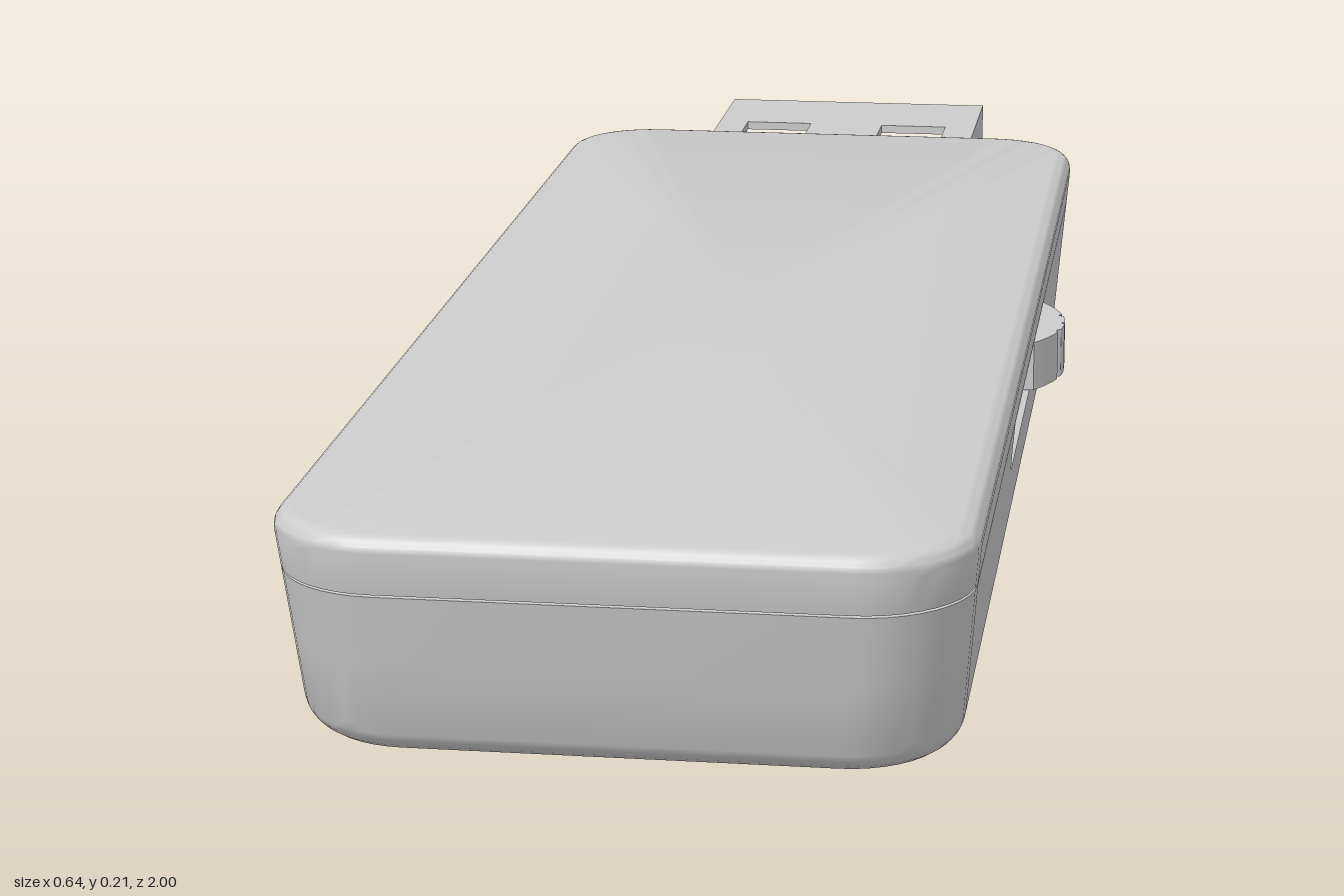
import * as THREE from 'three';
import { mergeGeometries, toCreasedNormals } from 'three/addons/utils/BufferGeometryUtils.js';

const CX = -0.012, CZ = 0.185, HEIGHT = 0.213, SEAM = 0.158, RADIUS = 0.1;
const PANEL_LOW = 0.09, PANEL_TOP = SEAM - 0.001;
const grey = new THREE.MeshStandardMaterial({ color: 0xcccccc });
const greyBoth = new THREE.MeshStandardMaterial({ color: 0xcccccc, side: THREE.DoubleSide });

// Tapered casing: half width and half length at a height
const halfW = (y) => 0.291 + 0.085 * y;
const halfD = (y) => 0.777 + 0.19 * y;
const wallX = (y) => CX + halfW(y);

function add(parent, name, geometry, material = grey) {
  const mesh = new THREE.Mesh(geometry, material);
  mesh.name = name;
  parent.add(mesh);
  return mesh;
}

function box(parent, name, x0, x1, y0, y1, z0, z1) {
  const mesh = add(parent, name, new THREE.BoxGeometry(x1 - x0, y1 - y0, z1 - z0));
  mesh.position.set((x0 + x1) / 2, (y0 + y1) / 2, (z0 + z1) / 2);
}

// Rounded rectangle at height y; the last-to-first edge is the straight +x side
function ring([y, inset]) {
  const pts = [], steps = 10;
  const w = halfW(y) - RADIUS, d = halfD(y) - RADIUS, r = RADIUS - inset;
  [[1, 1], [-1, 1], [-1, -1], [1, -1]].forEach(([sx, sz], k) => {
    for (let i = 0; i <= steps; i++) {
      const a = (k + i / steps) * Math.PI / 2;
      pts.push([CX + sx * w + r * Math.cos(a), y, CZ + sz * d + r * Math.sin(a)]);
    }
  });
  return pts;
}

// Skin over stacked rings, with optional end caps and an open +x panel in one row
function skin(levels, { bottom, top, openRow = -1 }) {
  const rings = levels.map(ring), n = rings[0].length, pos = [];
  const tri = (...p) => p.forEach((v) => pos.push(...v));
  for (let i = 0; i < rings.length - 1; i++) {
    for (let j = 0; j < n; j++) {
      if (i === openRow && j === n - 1) continue;
      const k = (j + 1) % n;
      const a = rings[i][j], b = rings[i][k], c = rings[i + 1][j], d = rings[i + 1][k];
      tri(a, c, b);
      tri(b, c, d);
    }
  }
  const last = rings[rings.length - 1];
  for (let j = 0; j < n; j++) {
    const k = (j + 1) % n;
    if (bottom) tri([CX, levels[0][0], CZ], rings[0][j], rings[0][k]);
    if (top) tri([CX, HEIGHT, CZ], last[k], last[j]);
  }
  const g = new THREE.BufferGeometry();
  g.setAttribute('position', new THREE.Float32BufferAttribute(pos, 3));
  return g;
}

// Slot outline, drawn with its x axis along -z
function slotOutline(ShapeClass) {
  const a = -0.41, b = 0.06, lo = 0.101, hi = 0.156, r = 0.034;
  const s = new ShapeClass();
  s.moveTo(a, hi);
  s.lineTo(a, lo + r);
  s.quadraticCurveTo(a, lo, a + r, lo);
  s.lineTo(b - r, lo);
  s.quadraticCurveTo(b, lo, b, lo + r);
  s.lineTo(b, hi);
  s.closePath();
  return s;
}

// Flat shape turned to face +x
function sideFace(shape, xAt) {
  const g = new THREE.ShapeGeometry(shape, 8).toNonIndexed();
  g.rotateY(Math.PI / 2);
  const p = g.attributes.position;
  for (let i = 0; i < p.count; i++) p.setX(i, xAt(p.getY(i)));
  g.deleteAttribute('uv');
  g.deleteAttribute('normal');
  return g;
}

function lowerShell() {
  const levels = [], r = 0.03;
  for (let i = 0; i <= 6; i++) {
    const a = i / 6 * Math.PI / 2;
    levels.push([r * (1 - Math.cos(a)), r * (1 - Math.sin(a))]);
  }
  levels.push([PANEL_LOW, 0], [PANEL_TOP, 0], [PANEL_TOP, 0.006]);
  // Side panel with the slot cut through it
  const e0 = halfD(PANEL_LOW) - RADIUS, e1 = halfD(PANEL_TOP) - RADIUS;
  const panel = new THREE.Shape([
    [-CZ - e0, PANEL_LOW], [-CZ + e0, PANEL_LOW], [-CZ + e1, PANEL_TOP], [-CZ - e1, PANEL_TOP],
  ].map(([x, y]) => new THREE.Vector2(x, y)));
  panel.holes.push(slotOutline(THREE.Path));
  const body = skin(levels, { bottom: true, openRow: 7 });
  return toCreasedNormals(mergeGeometries([body, sideFace(panel, wallX)]), 0.6);
}

function lid() {
  const levels = [[SEAM + 0.001, 0.006], [SEAM + 0.001, 0]], r = 0.02;
  for (let i = 0; i <= 6; i++) {
    const a = i / 6 * Math.PI / 2;
    levels.push([HEIGHT - r + r * Math.sin(a), r * (1 - Math.cos(a))]);
  }
  return toCreasedNormals(skin(levels, { top: true }), 0.6);
}

// Walls and floor of the slot
function slotPocket() {
  const floorX = 0.24, pts = slotOutline(THREE.Shape).getPoints(8), pos = [];
  pts.forEach((p, i) => {
    const q = pts[(i + 1) % pts.length];
    const a = [wallX(p.y), p.y, -p.x], b = [wallX(q.y), q.y, -q.x];
    const c = [floorX, p.y, -p.x], d = [floorX, q.y, -q.x];
    pos.push(...a, ...b, ...c, ...b, ...d, ...c);
  });
  const walls = new THREE.BufferGeometry();
  walls.setAttribute('position', new THREE.Float32BufferAttribute(pos, 3));
  const floor = sideFace(slotOutline(THREE.Shape), () => floorX);
  return toCreasedNormals(mergeGeometries([walls, floor]), 0.5);
}

// Curved thumb slider with shallow grip grooves
function slider() {
  const s = new THREE.Shape(), zc = 0.025, half = 0.083, n = 32;
  s.moveTo(0.241, -zc - half);
  for (let i = 0; i <= n; i++) {
    const u = -1 + 2 * i / n;
    const groove = Math.abs(u) < 0.6 && i % 6 === 4 ? 0.004 : 0;
    s.lineTo(0.292 + 0.028 * (1 - u * u) - groove, -zc + half * u);
  }
  s.lineTo(0.241, -zc + half);
  s.closePath();
  const g = new THREE.ExtrudeGeometry(s, { depth: 0.052, bevelEnabled: false });
  g.rotateX(-Math.PI / 2);
  g.translate(0, 0.1025, 0);
  return toCreasedNormals(g, 0.3);
}

// Hollow metal plug with windows in the top and bottom plates
function connector() {
  const g = new THREE.Group();
  g.name = 'connector';
  const x0 = -0.18, x1 = 0.155, y0 = 0.053, y1 = 0.172, t = 0.01, zIn = -0.58;
  const rect = (C, a, b, c, d) => new C([[a, c], [b, c], [b, d], [a, d]].map(([x, y]) => new THREE.Vector2(x, y)));
  const windows = [[-0.143, -0.06], [0.033, 0.116]];
  const dimples = [[-0.1, -0.065], [0.04, 0.075]];
  const plate = (name, y, dimpled) => {
    const s = rect(THREE.Shape, x0, x1, -zIn, 1);
    windows.forEach(([a, b]) => s.holes.push(rect(THREE.Path, a, b, 0.797, 0.86)));
    if (dimpled) dimples.forEach(([a, b]) => s.holes.push(rect(THREE.Path, a, b, 0.682, 0.708)));
    const geo = new THREE.ExtrudeGeometry(s, { depth: t, bevelEnabled: false });
    geo.rotateX(-Math.PI / 2);
    add(g, name, geo).position.y = y;
  };
  plate('connectorTop', y1 - t, true);
  plate('connectorBottom', y0, false);
  dimples.forEach(([a, b]) => box(g, 'dimpleFloor', a, b, y1 - t, y1 - 0.004, -0.708, -0.682));
  box(g, 'connectorSideRight', x0, x0 + t, y0 + t, y1 - t, -1, zIn);
  box(g, 'connectorSideLeft', x1 - t, x1, y0 + t, y1 - t, -1, zIn);
  box(g, 'contactTongue', x0 + t, x1 - t, y0 + t, 0.106, -0.995, zIn);
  return g;
}

export function createModel() {
  const model = new THREE.Group();
  model.name = 'flashDrive';
  add(model, 'lowerShell', lowerShell());
  add(model, 'lid', lid());
  add(model, 'slotPocket', slotPocket(), greyBoth);
  add(model, 'thumbSlider', slider());
  model.add(connector());
  return model;
}
